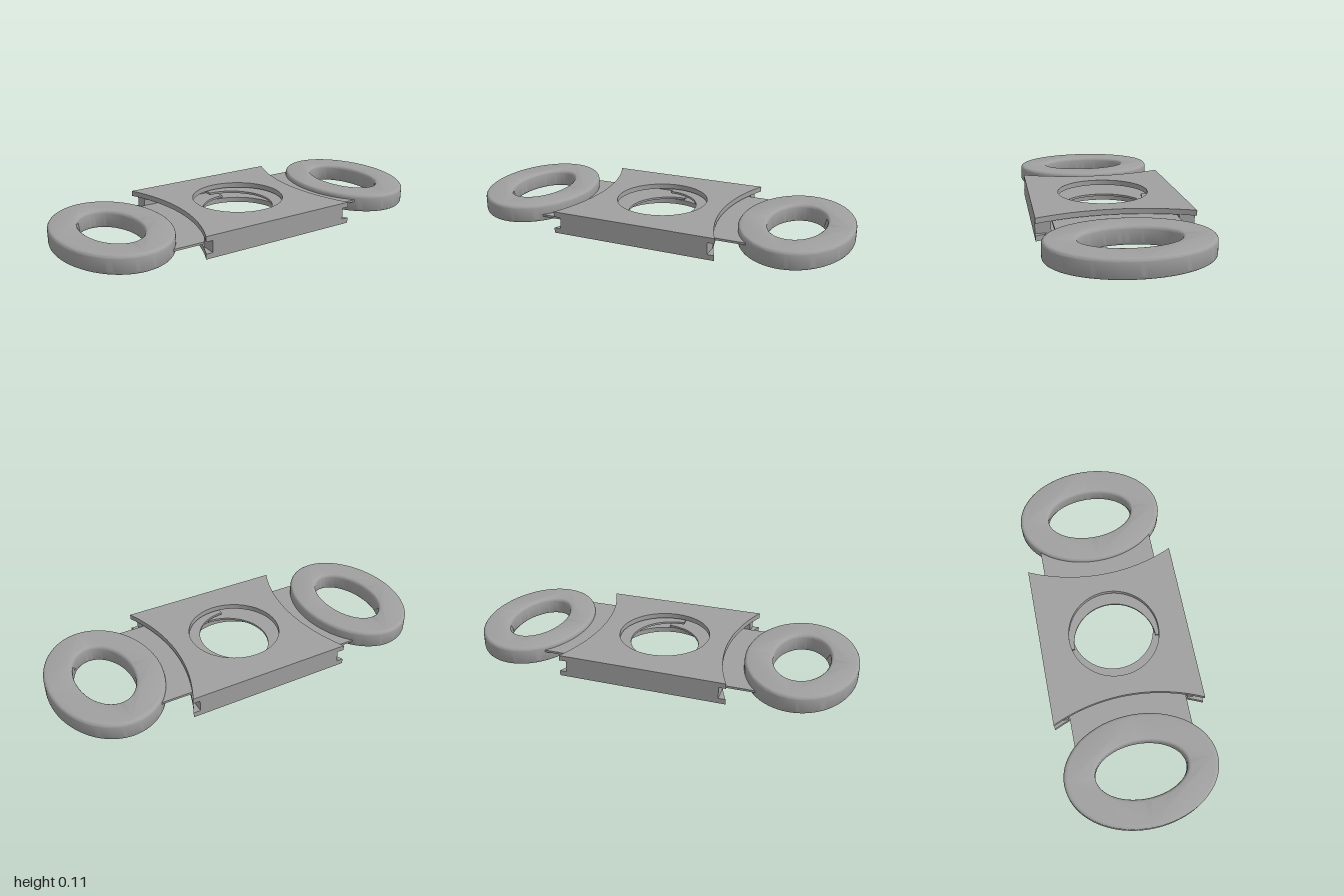
import * as THREE from 'three';
import { toCreasedNormals } from 'three/addons/utils/BufferGeometryUtils.js';

const steel = new THREE.MeshStandardMaterial({ color: 0xa0a0a0 });
steel.name = 'steel grey';

// Extrude a plan outline upwards from y0 to y1, with an optional rounded edge
function slab(name, shape, y0, y1, round = 0) {
  const geo = new THREE.ExtrudeGeometry(shape, {
    depth: y1 - y0 - 2 * round,
    curveSegments: 64,
    bevelEnabled: round > 0,
    bevelThickness: round,
    bevelSize: round,
    bevelOffset: -round,
    bevelSegments: 4,
  });
  geo.rotateX(-Math.PI / 2);
  geo.translate(0, y0 + round, 0);
  const mesh = new THREE.Mesh(toCreasedNormals(geo, 0.6), steel);
  mesh.name = name;
  return mesh;
}

// Body plate with concave ends and a round centre hole
function plateShape() {
  const x = 0.425, z = 0.387, c = 1.254, r = 0.914;
  const a = Math.asin(z / r);
  const s = new THREE.Shape();
  s.moveTo(-x, -z);
  s.lineTo(x, -z);
  s.absarc(c, 0, r, Math.PI + a, Math.PI - a, true);
  s.lineTo(-x, z);
  s.absarc(-c, 0, r, a, -a, true);
  s.holes.push(new THREE.Path().absarc(0, 0, 0.235, 0, Math.PI * 2, true));
  return s;
}

// Sliding blade with a semicircular cutting notch
function bladeShape() {
  const s = new THREE.Shape();
  s.moveTo(0.57, -0.303);
  s.lineTo(0.57, 0.303);
  s.lineTo(-0.04, 0.303);
  s.lineTo(-0.04, 0.215);
  s.absarc(-0.04, 0, 0.215, Math.PI / 2, -Math.PI / 2, true);
  s.lineTo(-0.04, -0.303);
  s.closePath();
  return s;
}

// Oval finger ring
function ringShape() {
  const s = new THREE.Shape();
  s.absellipse(0.72, 0, 0.28, 0.385, 0, Math.PI * 2, false, 0);
  s.holes.push(new THREE.Path().absellipse(0.72, 0, 0.14, 0.23, 0, Math.PI * 2, true, 0));
  return s;
}

export function createModel() {
  const model = new THREE.Group();
  model.name = 'doubleBladeCutter';

  // Hollow body: two plates joined by side walls
  const body = new THREE.Group();
  body.name = 'body';
  body.add(slab('bottomPlate', plateShape(), 0, 0.027));
  body.add(slab('topPlate', plateShape(), 0.086, 0.113));
  for (const side of [-1, 1]) {
    const wall = new THREE.Mesh(new THREE.BoxGeometry(0.78, 0.059, 0.077), steel);
    wall.position.set(0, 0.0565, side * 0.3485);
    wall.name = side > 0 ? 'frontWall' : 'backWall';
    body.add(wall);
  }
  model.add(body);

  // Two opposed slides, each a blade with its finger ring, at different heights
  for (const [name, y, turn] of [['leftSlide', 0.067, 0], ['rightSlide', 0.038, Math.PI]]) {
    const slide = new THREE.Group();
    slide.name = name;
    slide.add(slab('blade', bladeShape(), y, y + 0.011));
    slide.add(slab('fingerRing', ringShape(), 0.01, 0.104, 0.017));
    slide.rotation.y = turn;
    model.add(slide);
  }
  return model;
}
